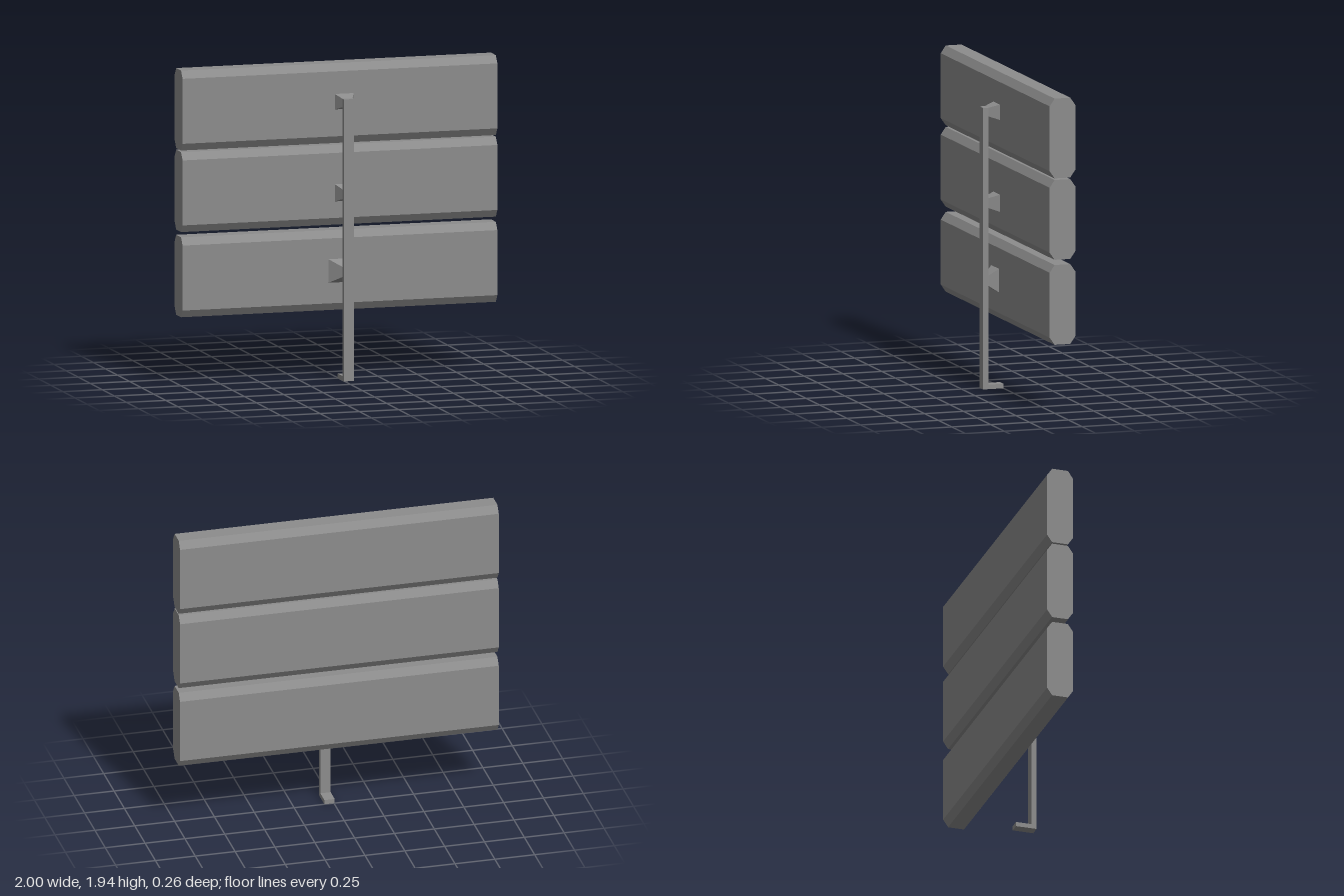
import * as THREE from 'three';

export function createModel() {
  const model = new THREE.Group();
  const grey = new THREE.MeshStandardMaterial({ color: 0x8c8c8c });
  grey.name = 'grey';

  const add = (geometry, name) => {
    const mesh = new THREE.Mesh(geometry, grey);
    mesh.name = name;
    model.add(mesh);
  };

  // Box given by its lower and upper limits on each axis
  const box = (x0, x1, y0, y1, z0, z1) =>
    new THREE.BoxGeometry(x1 - x0, y1 - y0, z1 - z0)
      .translate((x0 + x1) / 2, (y0 + y1) / 2, (z0 + z1) / 2);

  // Long boards with chamfered edges, extruded along x
  const front = 0.033, back = -0.132, bevelY = 0.046, bevelZ = 0.032;
  const boards = [['lowerBoard', 0.422, 0.914], ['middleBoard', 0.946, 1.438], ['upperBoard', 1.448, 1.94]];
  for (const [name, y0, y1] of boards) {
    // Shape x is -z of the model
    const profile = new THREE.Shape([
      [-front + bevelZ, y0], [-back - bevelZ, y0], [-back, y0 + bevelY], [-back, y1 - bevelY],
      [-back - bevelZ, y1], [-front + bevelZ, y1], [-front, y1 - bevelY], [-front, y0 + bevelY],
    ].map(([x, y]) => new THREE.Vector2(x, y)));
    const geometry = new THREE.ExtrudeGeometry(profile, { depth: 2, bevelEnabled: false });
    geometry.translate(0, 0, -1).rotateY(Math.PI / 2);
    add(geometry, name);
  }

  // Upright post and its foot
  const left = -0.005, right = 0.06, postBack = 0.098;
  add(box(left, right, 0, 1.735, postBack, 0.132), 'post');
  add(box(left, right, 0, 0.028, 0, postBack), 'foot');

  // Brackets flaring from the post to the boards: [name, wide x0, x1, y0, y1, narrow y0, y1]
  const brackets = [
    ['lowerBracket', -0.073, 0.07, 0.595, 0.74, 0.637, 0.7],
    ['middleBracket', -0.033, 0.087, 1.094, 1.2, 1.117, 1.177],
    ['upperBracket', -0.033, 0.087, 1.66, 1.755, 1.682, 1.735],
  ];
  for (const [name, x0, x1, y0, y1, ny0, ny1] of brackets) {
    const geometry = new THREE.BoxGeometry(1, 1, 1);
    const p = geometry.attributes.position;
    for (let i = 0; i < p.count; i++) {
      const narrow = p.getZ(i) > 0, isRight = p.getX(i) > 0, isTop = p.getY(i) > 0;
      if (narrow) p.setXYZ(i, isRight ? right : left, isTop ? ny1 : ny0, postBack);
      else p.setXYZ(i, isRight ? x1 : x0, isTop ? y1 : y0, front);
    }
    geometry.computeVertexNormals();
    add(geometry, name);
  }

  return model;
}
